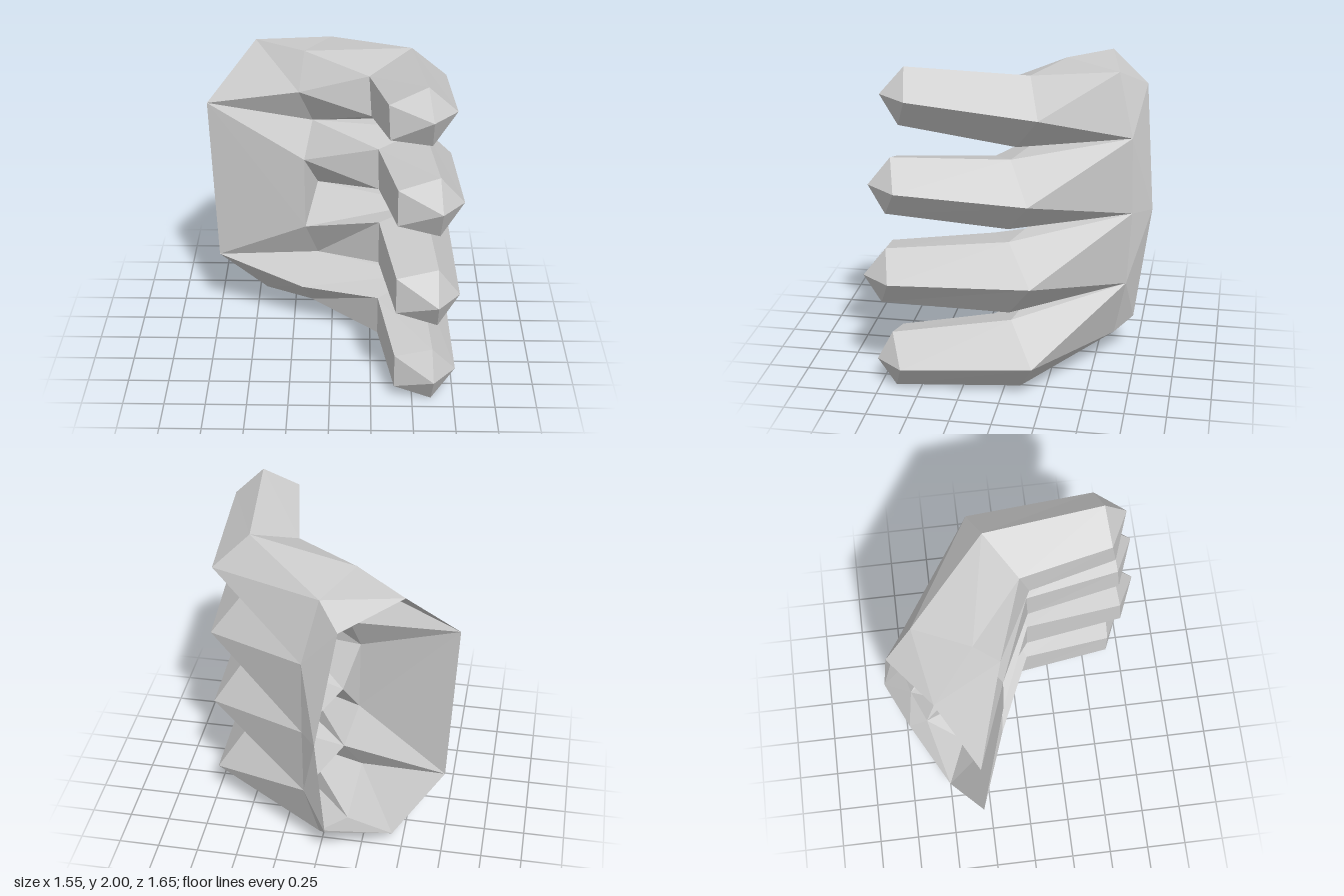
import * as THREE from 'three';

// Joints of the open palm shell
const P = {
  wristTop: [-0.78, 1.53, -0.3], wristLow: [-0.735, 0.46, -0.3],
  heelTop: [-0.48, 1.87, -0.52], heelLow: [-0.44, 0.1, -0.5],
  backTop: [-0.14, 1.76, -0.765], backMid: [-0.015, 1.0, -0.825], backLow: [-0.055, 0.25, -0.725],
  edgeTop: [-0.01, 1.86, -0.605], edgeLow: [0, 0.155, -0.61],
  sideTop: [-0.17, 1.89, -0.27], sideLow: [-0.14, 0.08, -0.38],
  padTop: [-0.2, 1.68, -0.12], padLow: [-0.19, 0.32, -0.12],
  padA: [-0.17, 1.235, -0.105], padB: [-0.165, 0.77, -0.105],
  // webs between the fingers: back of the hand, then palm side
  webBack1: [0.08, 1.48, -0.7], webBack2: [0.08, 1.0, -0.71], webBack3: [0.08, 0.535, -0.685],
  webPalm1: [-0.12, 1.46, -0.21], webPalm2: [-0.09, 1.01, -0.27], webPalm3: [-0.09, 0.53, -0.22],
};

// Rings run: top, outer, bottom, inner low, inner high.
// root lists the palm joints each ring corner grows from; web is the joint before the top one.
const fingers = [
  {
    name: 'topFinger', root: ['edgeTop', 'webBack1', 'webPalm1', 'padTop', 'sideTop'], web: 'edgeTop',
    knuckle: [[0.48, 1.96, -0.145], [0.695, 1.76, -0.22], [0.51, 1.54, -0.07], [0.24, 1.62, 0.1], [0.225, 1.85, 0.04]],
    end: [[0.55, 2.0, 0.57], [0.72, 1.84, 0.535], [0.58, 1.66, 0.605], [0.34, 1.7, 0.62], [0.33, 1.9, 0.59]],
    tip: [0.58, 1.84, 0.71],
  },
  {
    name: 'upperMiddleFinger', root: ['webBack1', 'webBack2', 'webPalm2', 'padA', 'webPalm1'], web: 'webBack1',
    knuckle: [[0.56, 1.48, -0.045], [0.74, 1.26, -0.17], [0.56, 1.05, -0.03], [0.29, 1.14, 0.1], [0.285, 1.4, 0.09]],
    end: [[0.63, 1.48, 0.645], [0.775, 1.305, 0.6], [0.635, 1.13, 0.685], [0.39, 1.19, 0.68], [0.39, 1.405, 0.66]],
    tip: [0.645, 1.31, 0.78],
  },
  {
    name: 'lowerMiddleFinger', root: ['webBack2', 'webBack3', 'webPalm3', 'webPalm3', 'padB'], web: 'webPalm2',
    knuckle: [[0.575, 0.975, -0.035], [0.74, 0.75, -0.185], [0.575, 0.52, -0.035], [0.295, 0.63, 0.1], [0.295, 0.91, 0.1]],
    end: [[0.635, 0.91, 0.69], [0.765, 0.73, 0.655], [0.635, 0.56, 0.725], [0.39, 0.64, 0.725], [0.39, 0.86, 0.71]],
    tip: [0.635, 0.73, 0.83],
  },
  {
    name: 'bottomFinger', root: ['webBack3', 'edgeLow', 'edgeLow', 'sideLow', 'padLow'], web: 'webPalm3',
    knuckle: [[0.56, 0.465, -0.045], [0.735, 0.23, -0.195], [0.52, 0.005, -0.095], [0.295, 0.1, 0.07], [0.295, 0.37, 0.1]],
    end: [[0.615, 0.355, 0.67], [0.76, 0.175, 0.595], [0.615, 0, 0.655], [0.39, 0.085, 0.66], [0.39, 0.3, 0.66]],
    tip: [0.625, 0.175, 0.765],
  },
];

const palmFaces = [
  // side of the hand by the top finger
  'padTop sideTop heelTop wristTop', 'sideTop edgeTop heelTop', 'heelTop edgeTop backTop',
  // back of the hand
  'edgeTop webBack1 backTop', 'backTop webBack1 backMid', 'webBack1 webBack2 backMid',
  'webBack2 webBack3 backMid', 'webBack3 backLow backMid', 'webBack3 edgeLow backLow',
  // side of the hand by the bottom finger
  'backLow edgeLow heelLow', 'edgeLow sideLow heelLow', 'sideLow padLow heelLow', 'heelLow padLow wristLow',
  // inside of the palm
  'padLow webPalm3 wristLow', 'webPalm3 padB wristLow', 'padB webPalm2 padA',
  'padB padA wristTop wristLow', 'padA webPalm1 wristTop', 'webPalm1 padTop wristTop',
];

// Flat-sided mesh from polygons, each split as a fan and without collapsed corners
function facetMesh(name, polygons, material) {
  const positions = [];
  for (const poly of polygons) {
    for (let i = 1; i < poly.length - 1; i++) {
      const [a, b, c] = [poly[0], poly[i], poly[i + 1]];
      if (a !== b && b !== c && c !== a) positions.push(...a, ...b, ...c);
    }
  }
  const geometry = new THREE.BufferGeometry();
  geometry.setAttribute('position', new THREE.Float32BufferAttribute(positions, 3));
  geometry.computeVertexNormals();
  const mesh = new THREE.Mesh(geometry, material);
  mesh.name = name;
  return mesh;
}

function fingerFaces({ root, web, knuckle, end, tip }) {
  const base = root.map((key) => P[key]);
  const faces = [[P[web], knuckle[0], base[0]]];
  for (let i = 0; i < 5; i++) {
    const j = (i + 1) % 5;
    faces.push([base[i], knuckle[i], knuckle[j], j === 0 ? P[web] : base[j]]); // root segment
    faces.push([knuckle[i], end[i], end[j], knuckle[j]]); // bent segment
    faces.push([tip, end[j], end[i]]); // pointed end
  }
  return faces.filter((f) => !(f.length === 3 && f[0] === f[2]));
}

export function createModel() {
  const group = new THREE.Group();
  group.name = 'hand';
  const skin = new THREE.MeshStandardMaterial({ color: 0xcccccc });
  skin.name = 'light grey';
  skin.flatShading = true;
  skin.side = THREE.DoubleSide; // the wrist is open

  group.add(facetMesh('palm', palmFaces.map((f) => f.split(' ').map((key) => P[key])), skin));
  for (const finger of fingers) group.add(facetMesh(finger.name, fingerFaces(finger), skin));
  return group;
}
